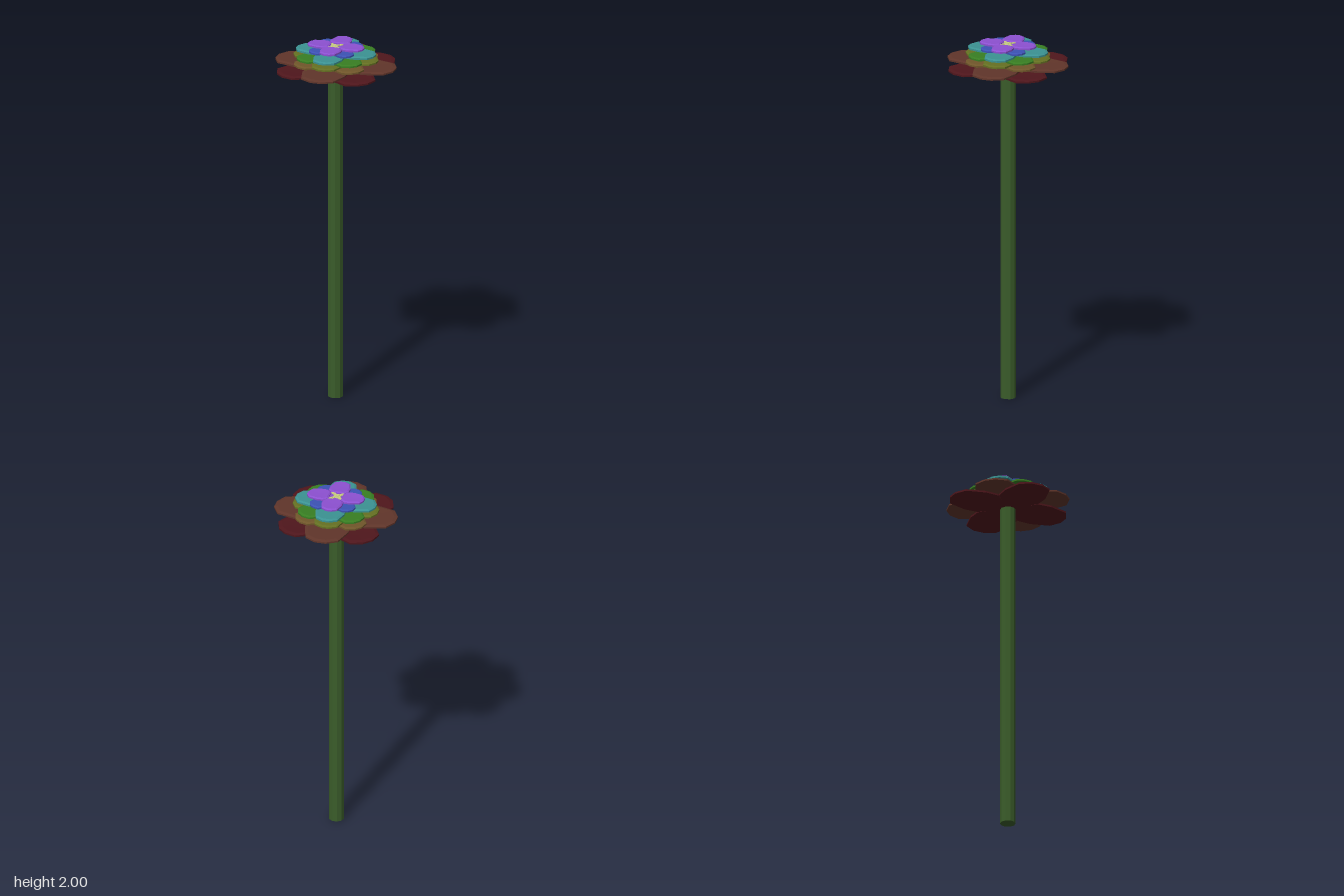
import * as THREE from 'three';

const mat = (color) => new THREE.MeshStandardMaterial({ color, flatShading: true });

function add(parent, name, geometry, material, x = 0, y = 0, z = 0) {
  const mesh = new THREE.Mesh(geometry, material);
  mesh.name = name;
  mesh.position.set(x, y, z);
  parent.add(mesh);
  return mesh;
}

// Petal outline for a petal of length 1 along +x: [along, half width]
const HALF = [[0.22, 0.22], [0.36, 0.35], [0.59, 0.36], [0.9, 0.27], [1, 0.09]];
const OUTLINE = [...HALF, ...HALF.map(([u, v]) => [u, -v]).reverse()];

// Thin, slightly domed petal: loops of the outline shrunk towards its middle
function petalGeometry(length, height) {
  const mid = 0.6;
  const loops = [[1, 0], [1, 0.65], [0.86, 1], [0.45, 0.95]].map(([s, y]) =>
    OUTLINE.map(([u, v]) => [(mid + (u - mid) * s) * length, y * height, v * s * length]));
  const n = OUTLINE.length, pos = [];
  const tri = (a, b, c) => pos.push(...a, ...b, ...c);
  const bottom = [mid * length, 0, 0], top = [mid * length, 0.92 * height, 0];
  for (let i = 0; i < n; i++) {
    const j = (i + 1) % n;
    tri(bottom, loops[0][j], loops[0][i]);
    for (let k = 0; k < loops.length - 1; k++) {
      const lo = loops[k], hi = loops[k + 1];
      tri(lo[i], lo[j], hi[j]);
      tri(lo[i], hi[j], hi[i]);
    }
    tri(top, loops[3][i], loops[3][j]);
  }
  const g = new THREE.BufferGeometry();
  g.setAttribute('position', new THREE.Float32BufferAttribute(pos, 3));
  g.computeVertexNormals();
  return g;
}

// Four petals in a cross around a lower square hub
function petalLayer({ name, length, y, height, color, turn }) {
  const layer = new THREE.Group();
  layer.name = name;
  layer.position.y = y;
  layer.rotation.y = turn;
  const material = mat(color);
  const geometry = petalGeometry(length, height);
  for (let i = 0; i < 4; i++) {
    add(layer, 'petal', geometry, material).rotation.y = i * Math.PI / 2;
  }
  const side = 0.45 * length;
  add(layer, 'petalHub', new THREE.BoxGeometry(side, height * 0.4, side), material, 0, height * 0.2, 0);
  return layer;
}

export function createModel() {
  const model = new THREE.Group();
  model.name = 'flower';

  // Stem
  add(model, 'stem', new THREE.CylinderGeometry(0.042, 0.042, 1.862, 10), mat(0x3a5c2a), -0.005, 0.931, 0)
    .rotation.y = Math.PI / 2;

  // Blossom, from the lowest petals to the highest
  const blossom = new THREE.Group();
  blossom.name = 'blossom';
  blossom.position.x = -0.002;
  model.add(blossom);
  const D = Math.PI / 4;
  [
    { name: 'darkRedPetals', length: 0.338, y: 1.872, height: 0.015, color: 0x4f161c, turn: D },
    { name: 'brownPetals', length: 0.336, y: 1.889, height: 0.014, color: 0x60352a, turn: 0 },
    { name: 'ochrePetals', length: 0.24, y: 1.906, height: 0.014, color: 0x70562a, turn: D },
    { name: 'olivePetals', length: 0.235, y: 1.923, height: 0.014, color: 0x657022, turn: 0 },
    { name: 'greenPetals', length: 0.224, y: 1.939, height: 0.014, color: 0x387e22, turn: D },
    { name: 'tealPetals', length: 0.222, y: 1.955, height: 0.015, color: 0x3b9292, turn: 0 },
    { name: 'bluePetals', length: 0.154, y: 1.972, height: 0.014, color: 0x3c52b4, turn: D },
    { name: 'purplePetals', length: 0.157, y: 1.986, height: 0.014, color: 0x8c50d0, turn: 0 },
  ].forEach((spec) => blossom.add(petalLayer(spec)));

  // Stamens: stepped centre and four diagonal arms with raised middles
  const stamens = new THREE.Group();
  stamens.name = 'stamens';
  stamens.position.set(-0.006, 1.99, 0.003);
  blossom.add(stamens);
  const yellow = mat(0xc8cc82);
  [[0.023, 0.006], [0.016, 0.0075], [0.009, 0.009]].forEach(([r, h]) =>
    add(stamens, 'stamenCentre', new THREE.CylinderGeometry(r * 0.9, r, h, 8), yellow, 0, h / 2, 0)
      .rotation.y = Math.PI / 8);
  for (let i = 0; i < 4; i++) {
    const arm = new THREE.Group();
    arm.name = 'stamenArm';
    arm.rotation.y = D + i * Math.PI / 2;
    add(arm, 'armBase', new THREE.BoxGeometry(0.037, 0.004, 0.018), yellow, 0.0335, 0.002, 0);
    add(arm, 'armRidge', new THREE.BoxGeometry(0.028, 0.0055, 0.01), yellow, 0.0335, 0.00275, 0);
    stamens.add(arm);
  }
  return model;
}
